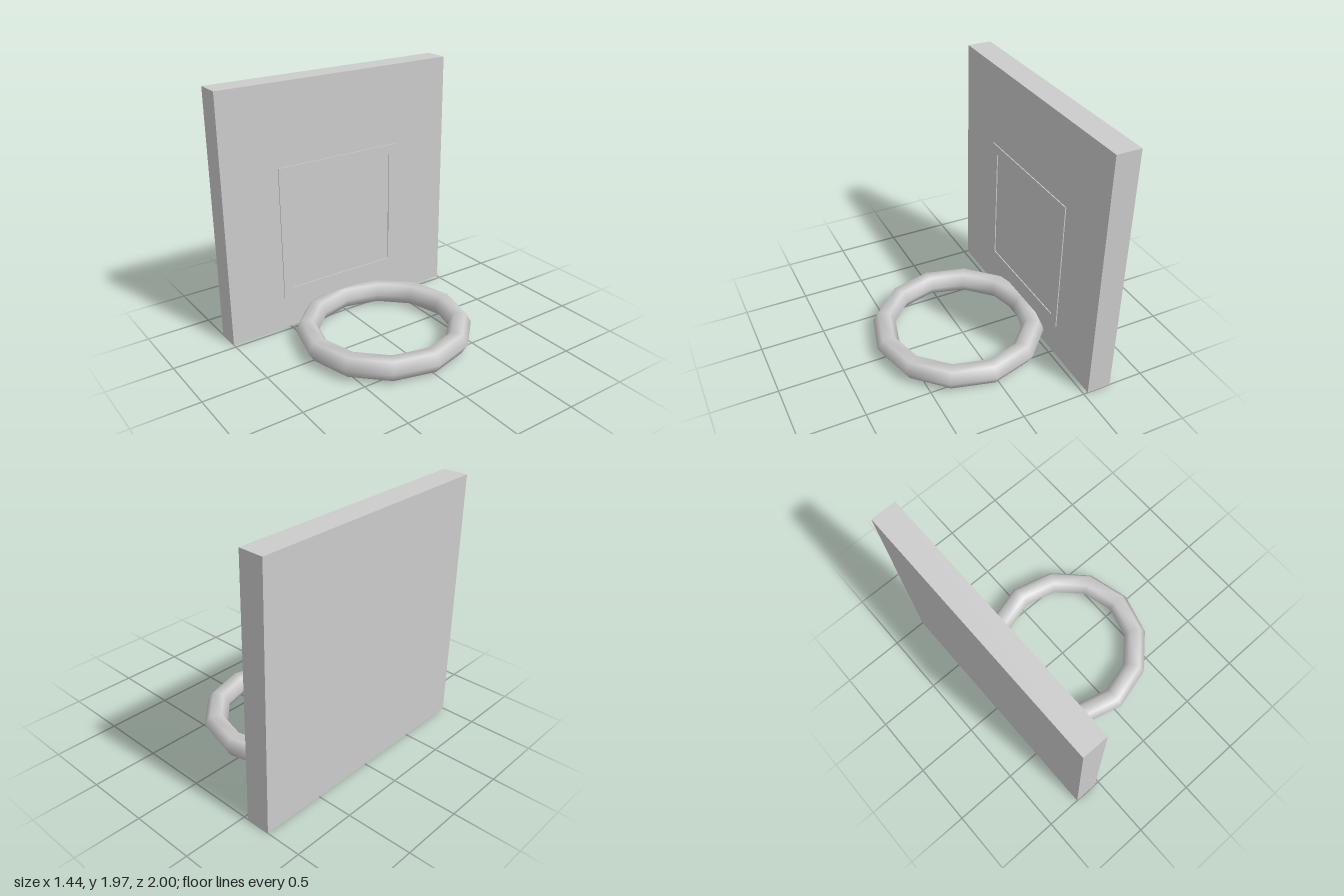
import * as THREE from 'three';

const material = new THREE.MeshStandardMaterial({ color: 0xcccccc });

function part(name, geometry, x, y, z) {
  const mesh = new THREE.Mesh(geometry, material);
  mesh.name = name;
  mesh.position.set(x, y, z);
  return mesh;
}

// Square outline centred on the origin
function square(Type, size) {
  const h = size / 2;
  return new Type([[-h, -h], [h, -h], [h, h], [-h, h]].map(([x, y]) => new THREE.Vector2(x, y)));
}

export function createModel() {
  const group = new THREE.Group();
  group.name = 'basketballHoop';

  // Upright slab
  group.add(part('backboard', new THREE.BoxGeometry(0.19, 1.97, 2), -0.63, 0.985, 0));

  // Thin raised square border on the playing face
  const border = square(THREE.Shape, 1.07);
  border.holes.push(square(THREE.Path, 0.92));
  const frame = new THREE.ExtrudeGeometry(border, { depth: 0.018, bevelEnabled: false });
  frame.rotateY(Math.PI / 2);
  group.add(part('targetFrame', frame, -0.545, 0.797, 0.01));

  // Low-poly ring, its back set into the board
  const ring = new THREE.TorusGeometry(0.589, 0.09, 6, 12);
  ring.rotateX(-Math.PI / 2);
  group.add(part('rim', ring, 0.04, 0.103, 0));

  return group;
}
